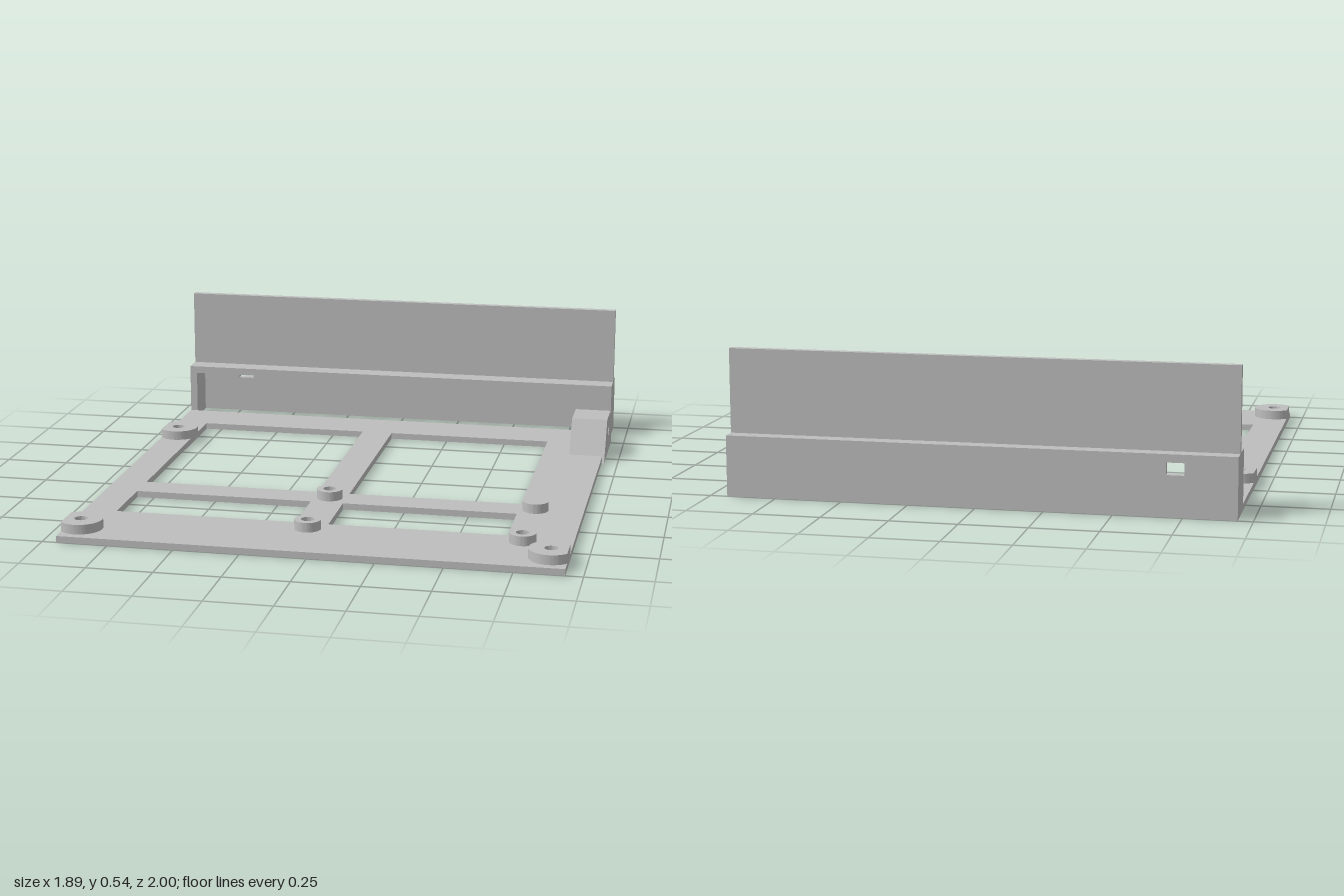
import * as THREE from 'three';
import { toCreasedNormals } from 'three/addons/utils/BufferGeometryUtils.js';

const grey = new THREE.MeshStandardMaterial({ color: 0xbebebe });
grey.name = 'plain grey';

const LEFT = 0.935, RIGHT = -0.945, T = 0.025, WALL = 0.03, BOSS_TOP = 0.062;

function rectPath(x0, x1, y0, y1, Type = THREE.Path) {
  const p = new Type();
  p.moveTo(x0, y0);
  p.lineTo(x1, y0);
  p.lineTo(x1, y1);
  p.lineTo(x0, y1);
  p.closePath();
  return p;
}

function circlePath(x, y, r) {
  return new THREE.Path().absarc(x, y, r, 0, Math.PI * 2, true);
}

function extrude(shape, depth) {
  const g = new THREE.ExtrudeGeometry(shape, { depth, bevelEnabled: false, curveSegments: 32 });
  return toCreasedNormals(g, 0.6);
}

// Lays a shape drawn in (x, -z) flat and raises it to y
function flat(shape, depth, y) {
  return extrude(shape, depth).rotateX(-Math.PI / 2).translate(0, y, 0);
}

export function createModel() {
  const model = new THREE.Group();
  model.name = 'mountingTray';

  const add = (name, geometry, parent = model) => {
    const mesh = new THREE.Mesh(geometry, grey);
    mesh.name = name;
    parent.add(mesh);
    return mesh;
  };
  const box = (name, x0, x1, y0, y1, z0, z1, parent) =>
    add(name, new THREE.BoxGeometry(x1 - x0, y1 - y0, z1 - z0)
      .translate((x0 + x1) / 2, (y0 + y1) / 2, (z0 + z1) / 2), parent);

  // x, z, radius, bored through
  const bosses = [
    [-0.885, -0.425, 0.082, true],
    [-0.885, 0.887, 0.082, true],
    [0.872, 0.887, 0.082, true],
    [-0.055, 0.337, 0.05, true],
    [-0.055, 0.73, 0.05, true],
    [0.75, 0.73, 0.05, true],
    [0.75, 0.337, 0.05, false],
  ];

  // Base plate with four windows, the slot under the housing and screw holes
  const plate = rectPath(RIGHT, LEFT, -1, 1, THREE.Shape);
  for (const [x0, x1] of [[-0.818, -0.117], [0.01, 0.686]])
    for (const [z0, z1] of [[-0.63, 0.273], [0.4, 0.665]])
      plate.holes.push(rectPath(x0, x1, -z1, -z0));
  plate.holes.push(rectPath(RIGHT + WALL, LEFT - WALL, 0.835, 1 - WALL));
  for (const [x, z, , bored] of bosses)
    if (bored) plate.holes.push(circlePath(x, -z, 0.025));
  add('basePlate', flat(plate, T, 0));

  // Round bosses, cut flush where they would pass the plate's sides
  const bossGroup = new THREE.Group();
  bossGroup.name = 'bosses';
  model.add(bossGroup);
  for (const [x, z, r, bored] of bosses) {
    const shape = new THREE.Shape();
    if (x - r < RIGHT) {
      const a = Math.acos((x - RIGHT) / r);
      shape.absarc(x, -z, r, -Math.PI + a, Math.PI - a, false);
    } else if (x + r > LEFT) {
      const a = Math.acos((LEFT - x) / r);
      shape.absarc(x, -z, r, a, Math.PI * 2 - a, false);
    } else {
      shape.absarc(x, -z, r, 0, Math.PI * 2, false);
    }
    if (bored) shape.holes.push(circlePath(x, -z, 0.025));
    add(bored ? 'boredBoss' : 'solidBoss', flat(shape, BOSS_TOP - T, T), bossGroup);
  }

  // Rear housing: open at the front and below, small window in the back wall
  const housing = new THREE.Group();
  housing.name = 'rearHousing';
  model.add(housing);
  const back = rectPath(RIGHT, LEFT, T, 0.228, THREE.Shape);
  back.holes.push(rectPath(-0.755, -0.69, 0.153, 0.198));
  add('backWall', extrude(back, WALL).translate(0, 0, -1), housing);
  box('roof', RIGHT, LEFT, 0.198, 0.228, -1 + WALL, -0.835, housing);
  for (const x of [RIGHT, LEFT - WALL])
    box('endWall', x, x + WALL, T, 0.198, -1 + WALL, -0.835, housing);

  // Upright panel on the housing roof
  box('uprightPanel', RIGHT, LEFT, 0.228, 0.543, -0.945, -0.917);

  // Wedge bracket with a cross hole, drawn in (-z, y) and turned to face +x
  const wedge = new THREE.Shape();
  wedge.moveTo(0.432, 0);
  wedge.lineTo(0.778, 0);
  wedge.lineTo(0.683, 0.16);
  wedge.lineTo(0.532, 0.16);
  wedge.closePath();
  wedge.holes.push(circlePath(0.605, 0.098, 0.025));
  add('sideBracket', extrude(wedge, 0.147).rotateY(Math.PI / 2).translate(0.798, 0, 0));

  return model;
}
